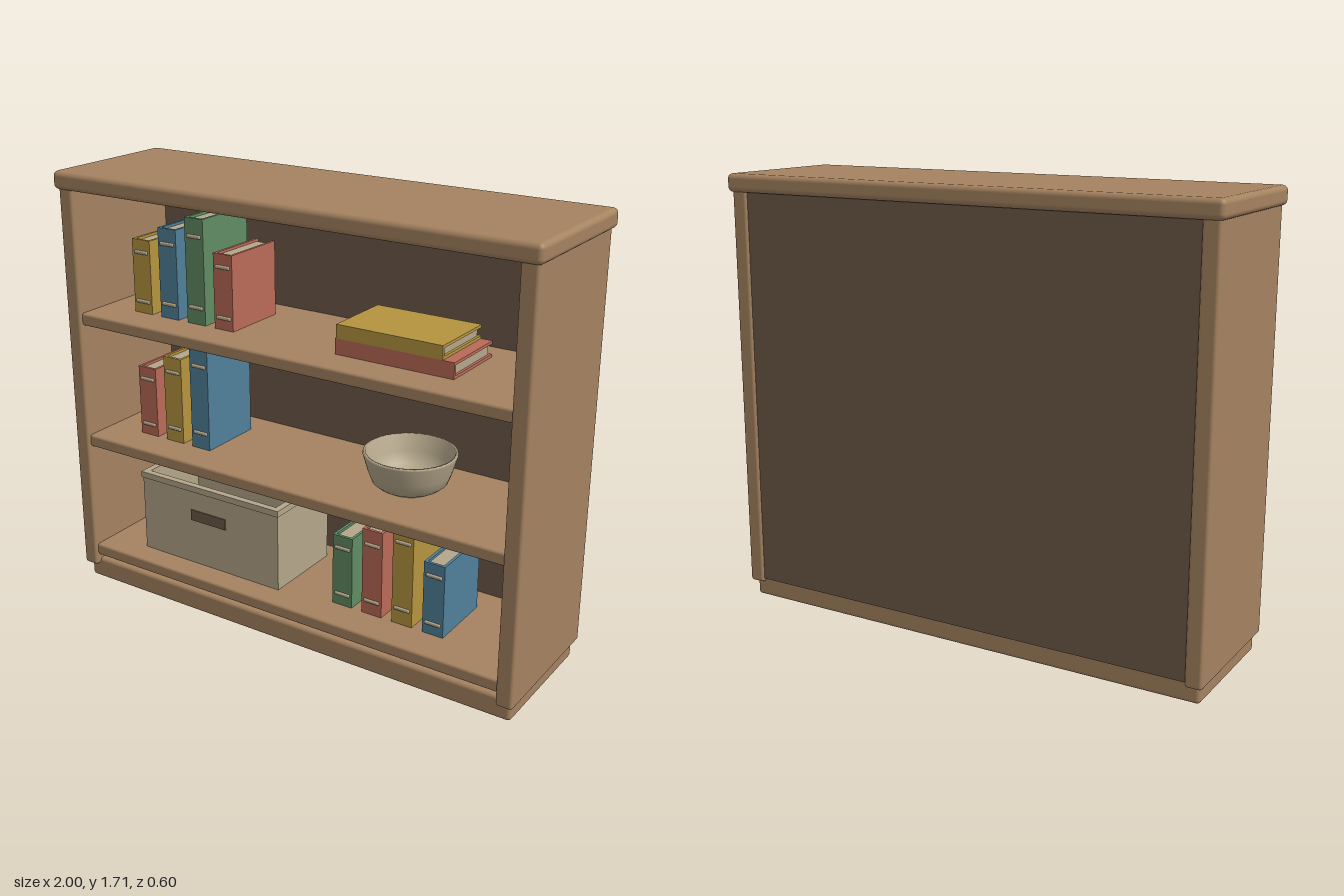
import * as THREE from 'three';
import { RoundedBoxGeometry } from 'three/addons/geometries/RoundedBoxGeometry.js';

const mat = (name, color) => {
  const m = new THREE.MeshStandardMaterial({ color });
  m.name = name;
  return m;
};

export function createModel() {
  const wood = mat('wood', 0xa58360);
  const dark = mat('darkWood', 0x6f5b4a);
  const cream = mat('cream', 0xb4a68a);
  const red = mat('redCover', 0xba6a58);
  const yellow = mat('yellowCover', 0xb5943f);
  const blue = mat('blueCover', 0x50809a);
  const green = mat('greenCover', 0x5f8c63);

  const model = new THREE.Group();
  model.name = 'bookcase';

  // Box given by its minimum and maximum corners, optionally rounded
  function block(parent, name, material, [x0, y0, z0], [x1, y1, z1], radius = 0) {
    const w = x1 - x0, h = y1 - y0, d = z1 - z0;
    const geometry = radius
      ? new RoundedBoxGeometry(w, h, d, 3, radius)
      : new THREE.BoxGeometry(w, h, d);
    const mesh = new THREE.Mesh(geometry, material);
    mesh.name = name;
    mesh.position.set((x0 + x1) / 2, (y0 + y1) / 2, (z0 + z1) / 2);
    parent.add(mesh);
    return mesh;
  }

  // Carcass
  block(model, 'plinth', wood, [-0.97, 0, -0.26], [0.97, 0.09, 0.26], 0.015);
  block(model, 'topBoard', wood, [-1, 1.64, -0.3], [1, 1.71, 0.3], 0.02);
  block(model, 'leftSide', wood, [0.92, 0.065, -0.285], [0.985, 1.65, 0.285], 0.012);
  block(model, 'rightSide', wood, [-0.985, 0.065, -0.285], [-0.92, 1.65, 0.285], 0.012);
  block(model, 'backPanel', dark, [-0.925, 0.08, -0.275], [0.925, 1.645, -0.25]);
  for (const y of [0.11, 0.6, 1.11])
    block(model, 'shelf', wood, [-0.925, y, -0.255], [0.925, y + 0.05, 0.272], 0.01);

  // Book standing on its tail, spine towards the front, pages set in
  function makeBook(cover, w, h, d, bands) {
    const book = new THREE.Group();
    book.name = 'book';
    const t = 0.011, x = w / 2, z = d / 2;
    block(book, 'leftCover', cover, [x - t, 0, -z], [x, h, z]);
    block(book, 'rightCover', cover, [-x, 0, -z], [-x + t, h, z]);
    block(book, 'spine', cover, [-x + t, 0, z - t], [x - t, h, z]);
    block(book, 'pages', cream, [-x + t, 0.01, -z + 0.012], [x - t, h - 0.01, z - t]);
    if (bands) for (const f of [0.16, 0.83])
      block(book, 'spineBand', cream,
        [-0.033, h * f - 0.007, z - 0.005], [0.033, h * f + 0.007, z + 0.007], 0.005);
    model.add(book);
    return book;
  }

  // Upright rows: first centre x, shelf height, then colour and height of each book
  const rows = [
    [-0.722, 1.16, [[yellow, 0.29], [blue, 0.35], [green, 0.407], [red, 0.29]]],
    [-0.722, 0.65, [[red, 0.285], [yellow, 0.35], [blue, 0.41]]],
    [0.198, 0.16, [[green, 0.29], [red, 0.35], [yellow, 0.407], [blue, 0.29]]],
  ];
  for (const [x, y, books] of rows)
    books.forEach(([cover, h], i) =>
      makeBook(cover, 0.086, h, 0.27, true).position.set(x + i * 0.13, y, 0));

  // Two books lying flat
  for (const [cover, x, y, w, length] of [[red, 0.16, 1.19, 0.06, 0.475], [yellow, 0.165, 1.246, 0.052, 0.425]]) {
    const book = makeBook(cover, w, length, 0.28, false);
    book.rotation.z = -Math.PI / 2;
    book.position.set(x, y, -0.005);
  }

  // Open storage box with a rim and a dark hand slot
  const bin = new THREE.Group();
  bin.name = 'storageBox';
  model.add(bin);
  function ring(name, x0, x1, z0, z1, y0, y1, t) {
    block(bin, name, cream, [x0, y0, z1 - t], [x1, y1, z1]);
    block(bin, name, cream, [x0, y0, z0], [x1, y1, z0 + t]);
    block(bin, name, cream, [x0, y0, z0 + t], [x0 + t, y1, z1 - t]);
    block(bin, name, cream, [x1 - t, y0, z0 + t], [x1, y1, z1 - t]);
  }
  ring('boxWall', -0.735, -0.07, -0.17, 0.175, 0.16, 0.475, 0.02);
  ring('boxRim', -0.74, -0.065, -0.175, 0.18, 0.475, 0.5, 0.027);
  block(bin, 'boxFloor', cream, [-0.72, 0.16, -0.155], [-0.085, 0.18, 0.16]);
  block(bin, 'handSlot', dark, [-0.49, 0.35, 0.174], [-0.32, 0.395, 0.18]);

  // Bowl
  const profile = [
    [0, 0], [0.09, 0], [0.095, 0.012], [0.12, 0.018], [0.14, 0.035], [0.155, 0.075],
    [0.174, 0.14], [0.172, 0.148], [0.164, 0.148], [0.145, 0.085], [0.125, 0.045],
    [0.09, 0.028], [0, 0.024],
  ].map(([x, y]) => new THREE.Vector2(x, y));
  const bowl = new THREE.Mesh(new THREE.LatheGeometry(profile, 40), cream);
  bowl.name = 'bowl';
  bowl.position.set(0.401, 0.65, 0);
  model.add(bowl);

  return model;
}
